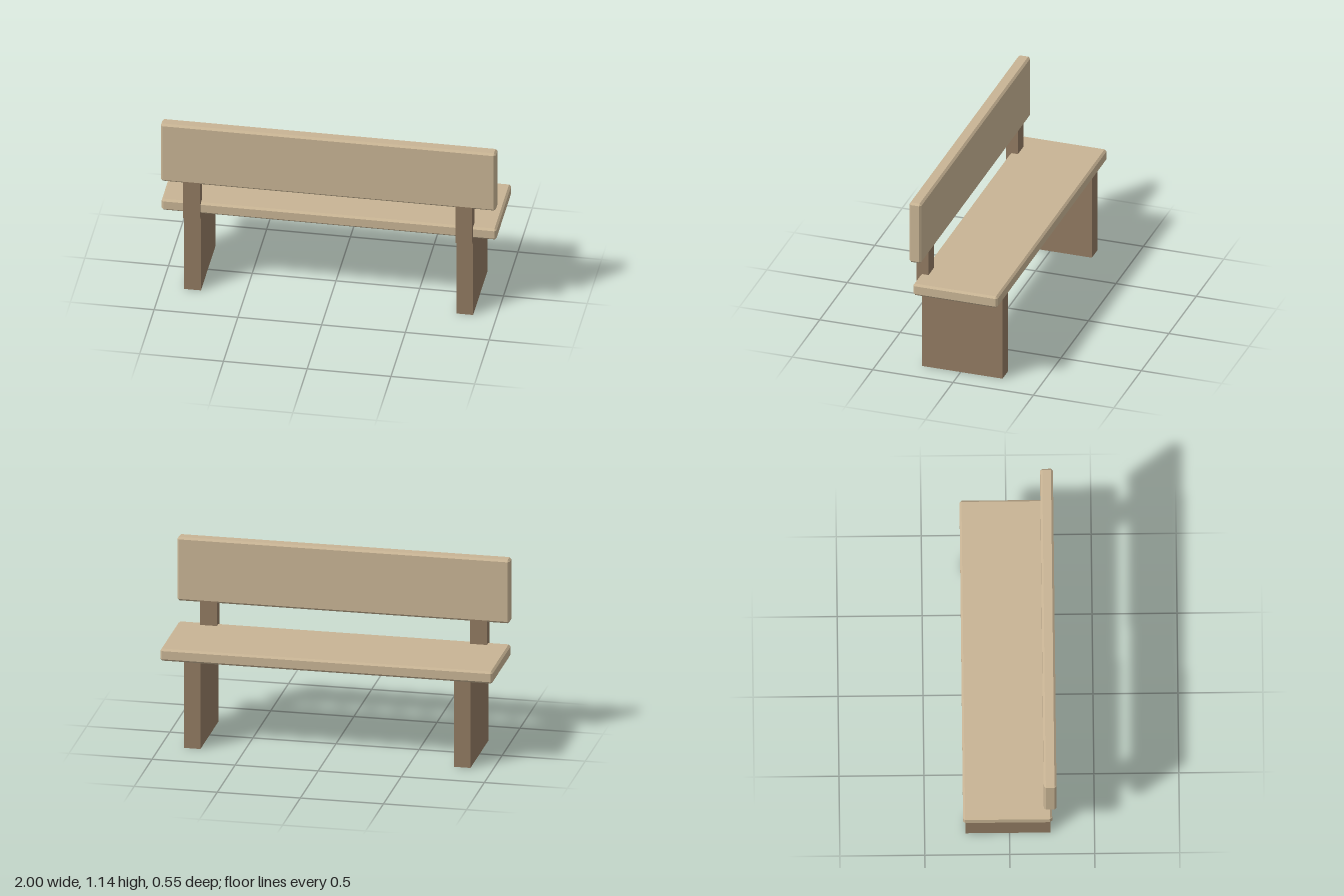
import * as THREE from 'three';
import { ConvexGeometry } from 'three/addons/geometries/ConvexGeometry.js';

const plankWood = new THREE.MeshStandardMaterial({ color: 0xc8b494 });
plankWood.name = 'light plank wood';
const legWood = new THREE.MeshStandardMaterial({ color: 0x917a61 });
legWood.name = 'brown leg wood';

// Box with every edge chamfered: three corner points around each of the eight corners
function chamferedBox(w, h, d, c) {
  const points = [];
  for (const sx of [-1, 1]) for (const sy of [-1, 1]) for (const sz of [-1, 1]) {
    for (let axis = 0; axis < 3; axis++) {
      const inset = [c, c, c];
      inset[axis] = 0;
      points.push(new THREE.Vector3(
        sx * (w / 2 - inset[0]), sy * (h / 2 - inset[1]), sz * (d / 2 - inset[2])));
    }
  }
  return new ConvexGeometry(points);
}

export function createModel() {
  const bench = new THREE.Group();
  bench.name = 'bench';

  // Places a box given by its limits on each axis
  function add(name, material, [x0, x1], [y0, y1], [z0, z1], chamfer = 0) {
    const size = [x1 - x0, y1 - y0, z1 - z0];
    const geometry = chamfer ? chamferedBox(...size, chamfer) : new THREE.BoxGeometry(...size);
    const mesh = new THREE.Mesh(geometry, material);
    mesh.name = name;
    mesh.position.set((x0 + x1) / 2, (y0 + y1) / 2, (z0 + z1) / 2);
    bench.add(mesh);
  }

  // Chamfered planks
  add('seat', plankWood, [-1, 1], [0.535, 0.61], [-0.275, 0.25], 0.012);
  add('backrest', plankWood, [-1, 1], [0.75, 1.145], [0.2, 0.275], 0.012);

  // Slab legs, with a short post above each carrying the backrest
  for (const [side, x] of [['right', -0.815], ['left', 0.81]]) {
    const across = [x - 0.05, x + 0.05];
    add(side + 'Leg', legWood, across, [0, 0.545], [-0.26, 0.24]);
    add(side + 'BackPost', legWood, across, [0.51, 0.762], [0.2, 0.275]);
  }
  return bench;
}
